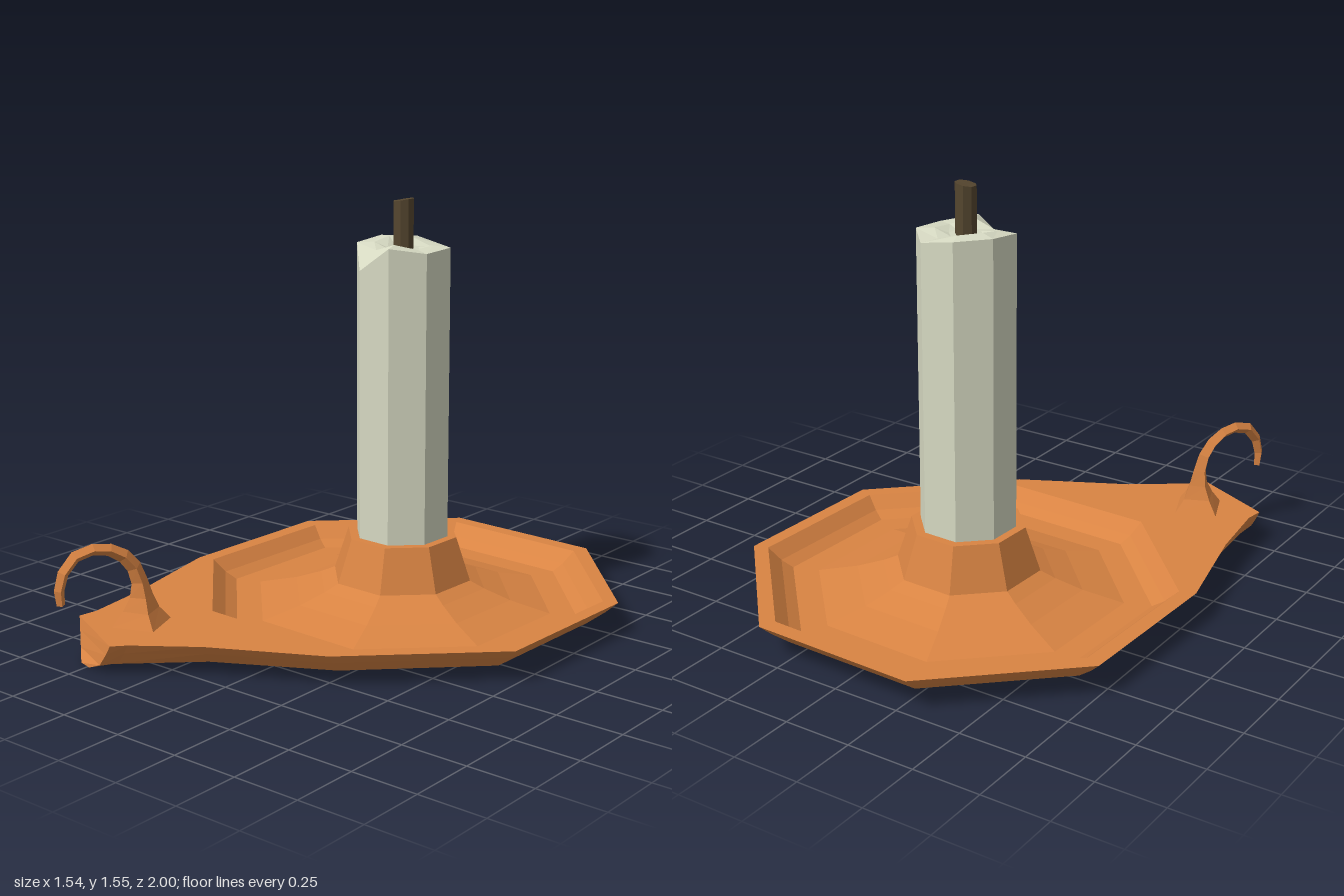
import * as THREE from 'three';

const CZ = -0.225;          // centre of the dish and candle in z
const TURN = 0.355;         // rotation of the octagons

// Octagon ring of radius r at height y (a number, or one height per corner)
function octagon(r, y) {
  return Array.from({ length: 8 }, (_, i) => {
    const a = TURN + i * Math.PI / 4;
    return new THREE.Vector3(r * Math.cos(a), Array.isArray(y) ? y[i] : y, CZ - r * Math.sin(a));
  });
}

// Skin a list of rings of equal length; optional fan over the last ring
function loft(rings, capEnd = false) {
  const n = rings[0].length, pos = [], idx = [];
  rings.forEach(r => r.forEach(p => pos.push(p.x, p.y, p.z)));
  for (let k = 0; k < rings.length - 1; k++) {
    for (let i = 0; i < n; i++) {
      const a = k * n + i, b = k * n + (i + 1) % n;
      idx.push(a, b, b + n, a, b + n, a + n);
    }
  }
  if (capEnd) {
    const c = new THREE.Vector3();
    const last = rings[rings.length - 1];
    last.forEach(p => c.addScaledVector(p, 1 / n));
    pos.push(c.x, c.y, c.z);
    const o = (rings.length - 1) * n;
    for (let i = 0; i < n; i++) idx.push(o + i, o + (i + 1) % n, rings.length * n);
  }
  const g = new THREE.BufferGeometry();
  g.setAttribute('position', new THREE.Float32BufferAttribute(pos, 3));
  g.setIndex(idx);
  const flat = g.toNonIndexed();
  flat.computeVertexNormals();
  return flat;
}

export function createModel() {
  const group = new THREE.Group();
  const material = color => new THREE.MeshStandardMaterial({ color, flatShading: true });
  const copper = material(0xd98443), wax = material(0xd6d9c2), char = material(0x55462f);
  const add = (name, geometry, mat) => {
    const mesh = new THREE.Mesh(geometry, mat);
    mesh.name = name;
    group.add(mesh);
  };

  // Plate outline: rim x, z, then the matching point on the underside
  const outline = [
    [0.77, -0.51, 0.56, -0.43], [0.34, -0.98, 0.25, -0.78], [-0.29, -1.0, -0.21, -0.79],
    [-0.755, -0.57, -0.55, -0.477], [-0.775, 0.06, -0.575, 0.0], [-0.68, 0.47, -0.57, 0.45],
    [-0.645, 0.73, -0.55, 0.78], [-0.655, 0.8, -0.545, 0.9], [-0.35, 0.945, -0.49, 0.915],
    [-0.31, 0.9, -0.46, 0.85], [-0.1, 0.75, -0.2, 0.59], [0.29, 0.55, 0.21, 0.36],
    [0.75, 0.12, 0.55, 0.03],
  ];
  const shell = [[1, 0], [0.5, 0.03], [0.2, 0.08], [0, 0.12]].map(([t, y]) =>
    outline.map(([x, z, bx, bz]) => new THREE.Vector3(x + (bx - x) * t, y, z + (bz - z) * t)));
  add('plateShell', loft(shell), copper);

  const underside = new THREE.Shape(outline.map(p => new THREE.Vector2(p[2], p[3])));
  add('plateUnderside', new THREE.ShapeGeometry(underside).rotateX(Math.PI / 2), copper);

  // Flat rim with an octagonal opening
  const rim = new THREE.Shape(outline.map(p => new THREE.Vector2(p[0], -p[1])));
  rim.holes.push(new THREE.Path(octagon(0.765, 0).map(p => new THREE.Vector2(p.x, -p.z))));
  add('plateRim', new THREE.ShapeGeometry(rim).rotateX(-Math.PI / 2).translate(0, 0.12, 0), copper);

  // Dish floor rising into the candle socket
  const dish = [[0.765, 0.12], [0.715, 0.075], [0.67, 0.05], [0.57, 0.05], [0.42, 0.085], [0.32, 0.12]];
  add('dish', loft(dish.map(([r, y]) => octagon(r, y))), copper);
  const socket = [[0.32, 0.12], [0.265, 0.145], [0.21, 0.308], [0.165, 0.308]];
  add('candleSocket', loft(socket.map(([r, y]) => octagon(r, y))), copper);

  // Candle with an uneven melted top
  const lip = [1.385, 1.37, 1.395, 1.4, 1.388, 1.305, 1.397, 1.378];
  add('candle', loft([octagon(0.176, 0.3), octagon(0.176, lip),
    octagon(0.11, lip.map(y => Math.max(y, 1.37) + 0.005)), octagon(0.06, 1.375)], true), wax);

  // Wick
  add('wick', loft([octagon(0.038, 1.36), octagon(0.038, 1.47),
    octagon(0.038, [1.555, 1.555, 1.55, 1.545, 1.545, 1.545, 1.55, 1.555])], true), char);

  // Hooked handle: z, y and half width along its path, diamond in section
  const path = [
    [0.712, 0.12, 0.11], [0.712, 0.17, 0.068], [0.71, 0.22, 0.043], [0.715, 0.275, 0.03],
    [0.732, 0.33, 0.027], [0.765, 0.375, 0.025], [0.812, 0.405, 0.022], [0.867, 0.415, 0.021],
    [0.927, 0.398, 0.022], [0.968, 0.345, 0.021], [0.983, 0.285, 0.019], [0.979, 0.232, 0.015],
  ];
  const up = new THREE.Vector3(0, 1, 0);
  const along = new THREE.Vector3(-0.4, 0, 0.92).normalize();
  const across = up.clone().cross(along);
  const centres = path.map(([z, y]) => new THREE.Vector3(-0.43 - 0.435 * (z - 0.705), y, z));
  const rings = centres.map((c, k) => {
    const t = centres[Math.min(k + 1, path.length - 1)].clone().sub(centres[Math.max(k - 1, 0)]).normalize();
    const normal = along.clone().multiplyScalar(t.y).addScaledVector(up, -t.dot(along));
    return [[normal, 1], [across, 1], [normal, -1], [across, -1]].map(([v, s]) =>
      c.clone().addScaledVector(v, s * path[k][2]));
  });
  add('handle', loft(rings, true), copper);

  return group;
}
